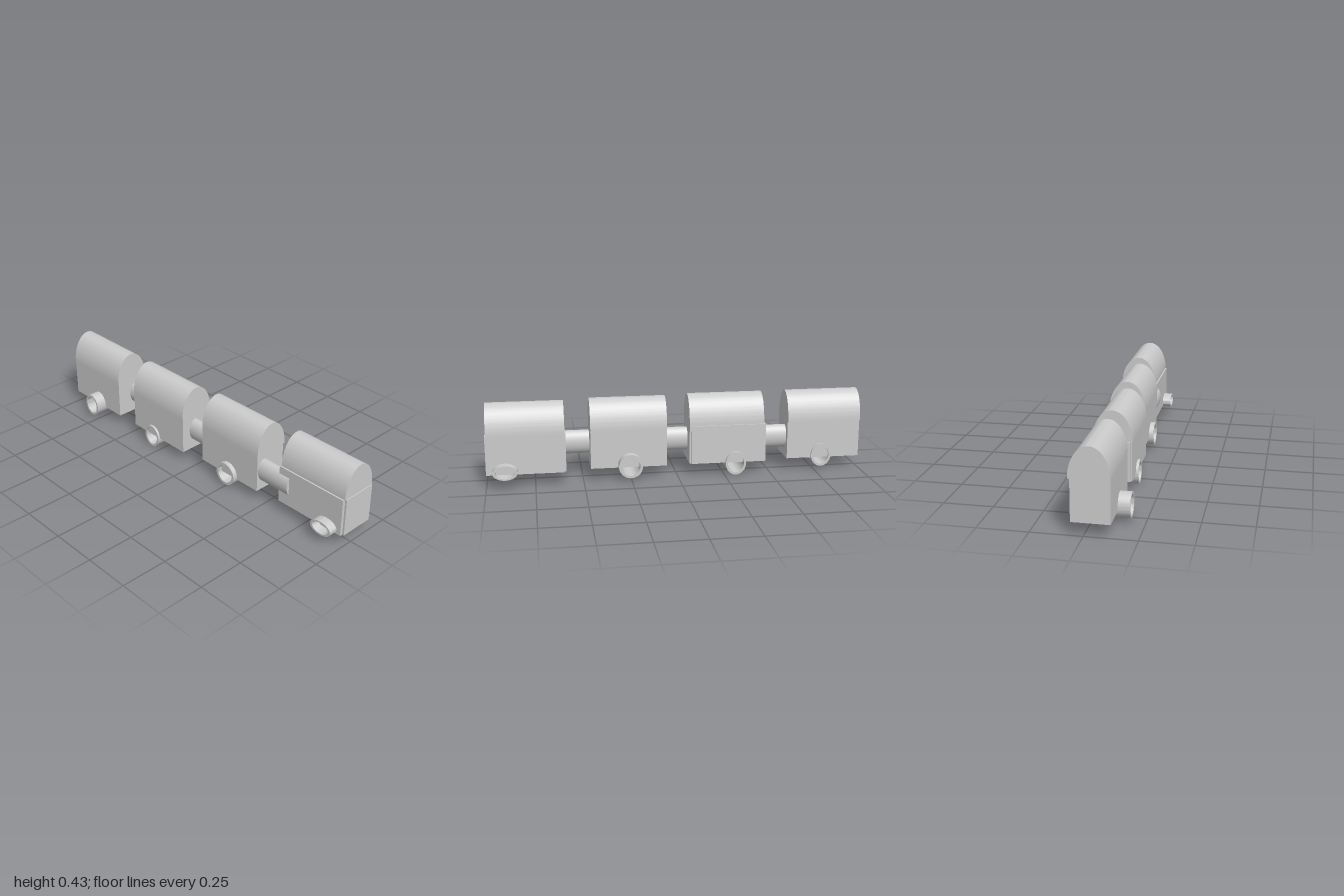
import * as THREE from 'three';
import { toCreasedNormals } from 'three/addons/utils/BufferGeometryUtils.js';

const material = new THREE.MeshStandardMaterial({ color: 0xcccccc });
const FLOOR = 0.066, EAVES = 0.271, TOP = 0.427;

function addMesh(parent, name, geometry) {
  const mesh = new THREE.Mesh(geometry, material);
  mesh.name = name;
  parent.add(mesh);
  return mesh;
}

function extrude(shape, depth) {
  const geometry = new THREE.ExtrudeGeometry(shape, { depth, bevelEnabled: false, curveSegments: 32 });
  return toCreasedNormals(geometry, 0.5);
}

// Box between x and z limits, from floor to eaves
function addBody(parent, name, [x0, x1, z0, z1]) {
  const mesh = addMesh(parent, name, new THREE.BoxGeometry(x1 - x0, EAVES - FLOOR, z1 - z0));
  mesh.position.set((x0 + x1) / 2, (FLOOR + EAVES) / 2, (z0 + z1) / 2);
}

// Half-elliptical roof running along z
function addRoof(parent, [x0, x1, z0, z1]) {
  const shape = new THREE.Shape();
  shape.absellipse(0, 0, (x1 - x0) / 2, TOP - EAVES, 0, Math.PI, false);
  shape.closePath();
  const mesh = addMesh(parent, 'roof', extrude(shape, z1 - z0));
  mesh.position.set((x0 + x1) / 2, EAVES, z0);
}

// Hollow elliptical tube running along x
function addWheelTube(parent, { x0, x1, y, z, rz, ry }) {
  const shape = new THREE.Shape();
  shape.absellipse(0, 0, rz, ry, 0, Math.PI * 2, false);
  const hole = new THREE.Path();
  hole.absellipse(0, 0, rz * 0.78, ry * 0.8, 0, Math.PI * 2, true);
  shape.holes.push(hole);
  const mesh = addMesh(parent, 'wheelTube', extrude(shape, x1 - x0));
  mesh.rotation.y = Math.PI / 2;
  mesh.position.set(x0, y, z);
}

// Limits are [x min, x max, z min, z max]
const cars = [
  {
    roof: [-0.065, 0.133, 0.595, 0.995],
    bodies: [[-0.073, 0.117, 0.59, 0.99], [-0.057, 0.13, 0.6, 1.0]],
    wheel: { x0: -0.12, x1: 0.18, y: 0.089, z: 0.903, rz: 0.063, ry: 0.038 },
  },
  {
    roof: [-0.096, 0.1, 0.06, 0.461],
    bodies: [[-0.095, 0.09, 0.06, 0.461]],
    wheel: { x0: -0.12, x1: 0.133, y: 0.081, z: 0.255, rz: 0.063, ry: 0.063 },
  },
  {
    roof: [-0.124, 0.077, -0.466, -0.064],
    bodies: [[-0.122, 0.075, -0.466, -0.064], [-0.113, 0.085, -0.475, -0.072]],
    wheel: { x0: -0.135, x1: 0.101, y: 0.064, z: -0.311, rz: 0.055, ry: 0.063 },
  },
  {
    roof: [-0.126, 0.069, -1.0, -0.6],
    bodies: [[-0.125, 0.059, -1.0, -0.6]],
    wheel: { x0: -0.183, x1: 0.069, y: 0.081, z: -0.788, rz: 0.055, ry: 0.063 },
  },
];

const couplings = [
  { x: -0.049, z: 0.553 },
  { x: -0.034, z: 0.0 },
  { x: -0.005, z: -0.535 },
];

export function createModel() {
  const model = new THREE.Group();
  model.name = 'train';

  cars.forEach(({ roof, bodies, wheel }, i) => {
    const car = new THREE.Group();
    car.name = `car${i + 1}`;
    bodies.forEach((limits, j) => addBody(car, j ? 'bodyPanel' : 'body', limits));
    addRoof(car, roof);
    addWheelTube(car, wheel);
    model.add(car);
  });

  // Round bars joining the cars
  couplings.forEach(({ x, z }) => {
    const geometry = new THREE.CylinderGeometry(1, 1, 0.205, 32).rotateX(Math.PI / 2).scale(0.04, 0.063, 1);
    addMesh(model, 'coupling', geometry).position.set(x, 0.179, z);
  });

  return model;
}
